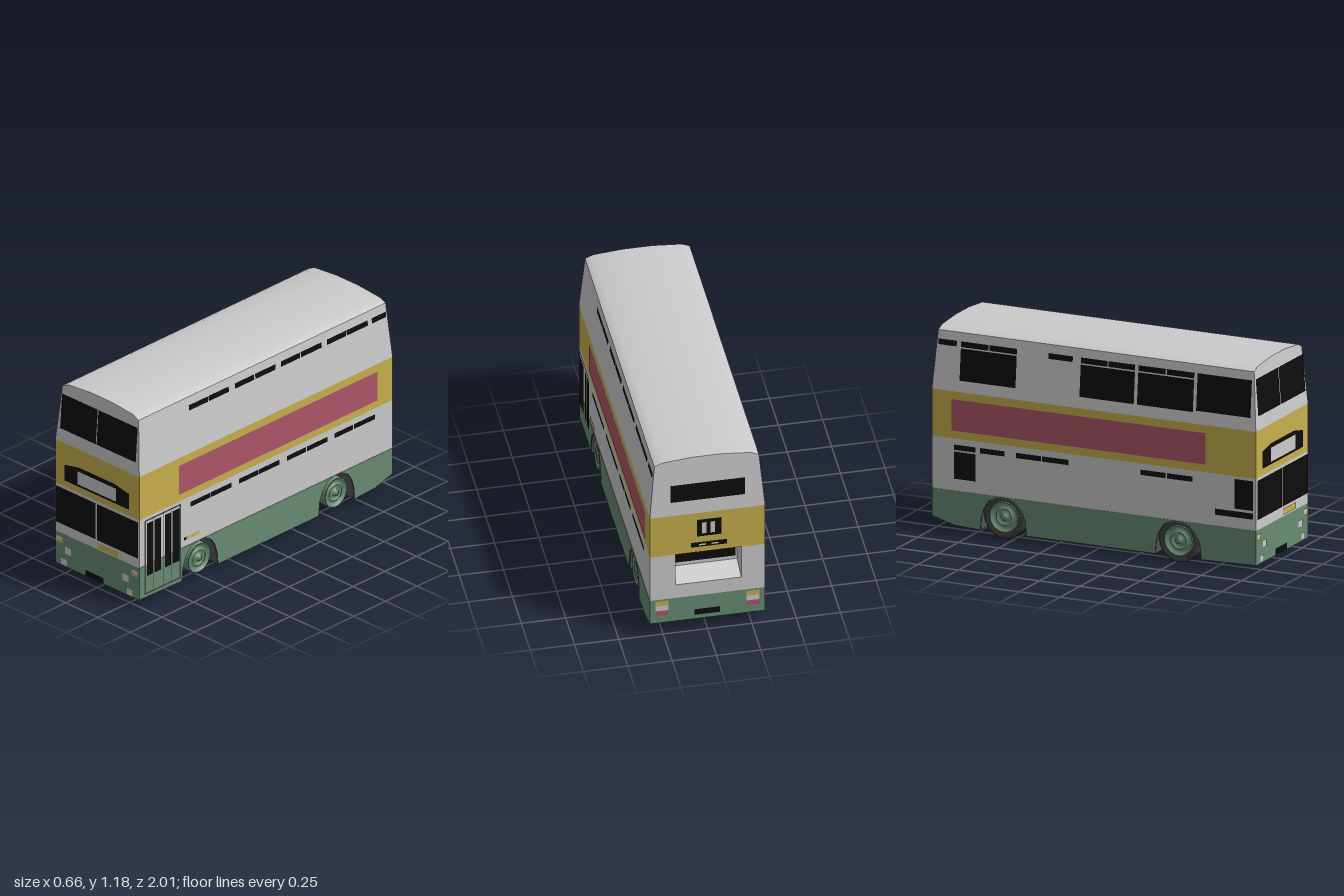
import * as THREE from 'three';

const paint = (name, color) => {
  const m = new THREE.MeshStandardMaterial({ color, side: THREE.DoubleSide });
  m.name = name;
  return m;
};

export function createModel() {
  const grey = paint('light grey', 0xcbcbcb);
  const yellow = paint('yellow', 0xc8b04e);
  const green = paint('green', 0x678c74);
  const pink = paint('pink', 0xad566a);
  const black = paint('glass black', 0x0d0d0d);
  const dark = paint('frame grey', 0x3f4542);
  const rubber = paint('tyre rubber', 0x404040);
  const liner = paint('arch liner grey', 0x585858);

  const bus = new THREE.Group();
  bus.name = 'bus';

  // The body is upright below the upper deck and leans inwards above it
  const WAIST = 0.81, EAVES = 1.145;
  const lean = (y) => Math.max(0, (y - WAIST) / (EAVES - WAIST));
  const halfWidth = (y) => 0.325 - 0.03 * lean(y);
  const halfLength = (y) => 1 - 0.025 * lean(y);

  const add = (name, geometry, material) => {
    geometry.computeVertexNormals();
    const mesh = new THREE.Mesh(geometry, material);
    mesh.name = name;
    bus.add(mesh);
    return mesh;
  };

  // Flat outline laid onto a wall. wall: 'side' uses (z, y), 'end' uses (x, y); s picks + or -
  function panel(name, material, wall, s, pts, off = 0) {
    const g = new THREE.ShapeGeometry(new THREE.Shape(pts.map(([u, v]) => new THREE.Vector2(u, v))));
    const p = g.attributes.position;
    for (let i = 0; i < p.count; i++) {
      const u = p.getX(i), y = p.getY(i);
      if (wall === 'side') p.setXYZ(i, s * (halfWidth(y) + off), y, u);
      else p.setXYZ(i, u, y, s * (halfLength(y) + off));
    }
    if ((wall === 'side') === (s > 0)) g.index.array.reverse();
    return add(name, g, material);
  }
  const rect = (name, material, wall, s, u0, u1, v0, v1, off = 0.004) =>
    panel(name, material, wall, s, [[u0, v0], [u1, v0], [u1, v1], [u0, v1]], off);

  // Sheet swept between two matching rows of points
  function sheet(name, material, rowA, rowB) {
    const g = new THREE.PlaneGeometry(1, 1, rowA.length - 1, 1);
    [...rowA, ...rowB].forEach((q, i) => g.attributes.position.setXYZ(i, ...q));
    return add(name, g, material);
  }

  // Roof arc, shared by the gables
  const arc = [[-0.295, 1.145], [-0.25, 1.165], [-0.08, 1.18], [0.08, 1.18], [0.25, 1.165], [0.295, 1.145]];
  sheet('roof', grey, arc.map(([x, y]) => [x, y, -halfLength(y)]), arc.map(([x, y]) => [x, y, halfLength(y)]));

  // Wheel arch outline, relative to the axle, from front to back
  const axles = [0.521, -0.558];
  const arch = [[0.142, 0.034], [0.135, 0.11], [0.112, 0.175], [0.07, 0.222], [0.02, 0.238],
    [-0.04, 0.236], [-0.09, 0.208], [-0.12, 0.16], [-0.137, 0.1], [-0.142, 0.034]];
  const archAt = (z) => arch.map(([dz, y]) => [z + dz, y]);

  // Side walls
  const skirt = [[1, 0.24], [1, 0.042], ...archAt(axles[0]), ...archAt(axles[1]),
    [-0.86, 0.042], [-1, 0.08], [-1, 0.24]];
  for (const s of [1, -1]) {
    panel('sideSkirt', green, 'side', s, skirt);
    rect('lowerSide', grey, 'side', s, -1, 1, 0.24, 0.54, 0);
    rect('sideBand', yellow, 'side', s, -1, 1, 0.54, WAIST, 0);
    panel('upperSide', grey, 'side', s, [[-1, WAIST], [1, WAIST], [0.975, EAVES], [-0.975, EAVES]]);
    rect('sidePoster', pink, 'side', s, -0.877, 0.69, 0.585, 0.765);
  }

  // Front and back walls; the lower back wall is notched for the engine recess
  const W = 0.325, R0 = -0.19, R1 = 0.18, SILL = 0.33, INNER = -0.88;
  for (const s of [1, -1]) {
    rect('endSkirt', green, 'end', s, -W, W, s > 0 ? 0.04 : 0.08, 0.24, 0);
    rect('endBand', yellow, 'end', s, -W, W, 0.54, WAIST, 0);
    panel('endUpper', grey, 'end', s, [[-W, WAIST], [W, WAIST], ...arc.slice().reverse()]);
  }
  rect('frontLower', grey, 'end', 1, -W, W, 0.24, 0.54, 0);
  panel('backLower', grey, 'end', -1, [[-W, 0.24], [W, 0.24], [W, 0.54], [R1, 0.54],
    [R1, SILL], [R0, SILL], [R0, 0.54], [-W, 0.54]]);

  // Recess above the engine cover
  const step = 0.37;
  sheet('recessSill', grey, [[R1, step, INNER], [R0, step, INNER]], [[R1, SILL, -1], [R0, SILL, -1]]);
  sheet('recessTop', grey, [[R0, 0.54, INNER], [R1, 0.54, INNER]], [[R0, 0.54, -1], [R1, 0.54, -1]]);
  sheet('recessBack', grey, [[R1, 0.54, INNER], [R0, 0.54, INNER]], [[R1, step, INNER], [R0, step, INNER]]);
  for (const x of [R0, R1])
    sheet('recessCheek', grey, [[x, 0.54, -1], [x, 0.54, INNER]], [[x, SILL, -1], [x, step, INNER]]);
  const zw = INNER - 0.004;
  sheet('recessWindow', black, [[0.17, 0.53, zw], [-0.18, 0.53, zw]], [[0.17, 0.395, zw], [-0.18, 0.395, zw]]);

  // Floor and the arch liners crossing beneath it
  const F = 0.327;
  sheet('floor', yellow, [[-F, 0.241, -0.999], [F, 0.241, -0.999]], [[-F, 0.241, 0.999], [F, 0.241, 0.999]]);
  for (const z of axles) {
    const row = (x) => archAt(z).map(([pz, y]) => [x, y, pz]);
    sheet('archLiner', liner, row(-0.322), row(0.322));
  }

  // Wheels: hubs on both sides, tyres on the right
  const lathe = (pts) => new THREE.LatheGeometry(pts.map(([r, h]) => new THREE.Vector2(r, h)), 32);
  const hubProfile = [[0.09, -0.05], [0.09, 0], [0.082, 0], [0.074, -0.014], [0.056, -0.014], [0.052, -0.004],
    [0.044, -0.004], [0.04, -0.012], [0.022, -0.012], [0.02, 0.002], [0, 0.002]];
  const tyreProfile = [[0.088, -0.07], [0.115, -0.07], [0.125, -0.062], [0.125, -0.008],
    [0.115, 0], [0.092, 0], [0.088, -0.008], [0.088, -0.07]];
  for (const z of axles) for (const s of [1, -1]) {
    const parts = [add('wheelHub', lathe(hubProfile), green)];
    if (s < 0) parts.push(add('tyre', lathe(tyreProfile), rubber));
    for (const part of parts) {
      part.rotation.z = -s * Math.PI / 2;
      part.position.set(s * 0.32, 0.125, z);
    }
  }

  // Left side vent panes
  const upperVents = [[0.588, 0.438], [0.432, 0.273], [0.225, 0.073], [0.064, -0.096], [-0.139, -0.289],
    [-0.296, -0.46], [-0.503, -0.652], [-0.658, -0.824], [-0.856, -0.968]];
  const lowerVents = [[0.6, 0.444], [0.438, 0.278], [0.219, 0.064], [0.058, -0.102], [-0.16, -0.31],
    [-0.32, -0.481], [-0.535, -0.684], [-0.69, -0.856]];
  for (const [a, b] of upperVents) rect('upperVent', black, 'side', 1, b, a, 1.064, 1.096);
  for (const [a, b] of lowerVents) rect('lowerVent', black, 'side', 1, b, a, 0.476, 0.506);

  // Right side windows: vents above, some with a large pane below
  for (const [a, b] of [[-0.83, -0.485], [-0.09, 0.245], [0.265, 0.61]]) {
    const mid = (a + b) / 2;
    rect('upperVent', black, 'side', -1, a, mid - 0.004, 1.064, 1.096);
    rect('upperVent', black, 'side', -1, mid + 0.004, b, 1.064, 1.096);
    rect('upperWindow', black, 'side', -1, a, b, 0.875, 1.056);
  }
  rect('upperVent', black, 'side', -1, -0.968, -0.856, 1.064, 1.096);
  rect('upperVent', black, 'side', -1, -0.29, -0.14, 1.064, 1.096);
  rect('upperFrontWindow', black, 'side', -1, 0.63, 0.965, 0.885, 1.096);
  for (const [a, b] of [[-0.86, -0.73], [-0.7, -0.55], [-0.48, -0.325], [-0.317, -0.155], [0.29, 0.445], [0.453, 0.61]])
    rect('lowerVent', black, 'side', -1, a, b, 0.476, 0.506);
  rect('lowerWindow', black, 'side', -1, -0.86, -0.73, 0.31, 0.466);
  rect('cabWindow', black, 'side', -1, 0.87, 0.985, 0.355, 0.525);
  rect('cabLowerWindow', black, 'side', -1, 0.75, 0.985, 0.305, 0.34);

  // Entrance door with four glazed leaves
  for (const z of [0.958, 0.893, 0.817, 0.749, 0.68]) {
    const w = z > 0.95 || z < 0.69 ? 0.006 : 0.002;
    rect('doorPost', dark, 'side', 1, z - w, z + w, 0.06, 0.525);
  }
  for (const y of [0.06, 0.515]) rect('doorRail', dark, 'side', 1, 0.674, 0.964, y, y + 0.01);
  for (const [a, b] of [[0.898, 0.947], [0.834, 0.888], [0.754, 0.802], [0.69, 0.743]])
    rect('doorGlass', black, 'side', 1, a, b, 0.175, 0.502, 0.006);
  rect('doorButton', black, 'side', 1, 0.632, 0.653, 0.283, 0.302);
  rect('sideLabel', yellow, 'side', 1, 0.53, 0.626, 0.283, 0.302);

  // Front windows and destination box
  for (const [a, b] of [[-0.29, -0.014], [-0.008, 0.295]]) rect('upperWindscreen', black, 'end', 1, a, b, 0.89, 1.1);
  for (const [a, b] of [[-0.315, -0.01], [0, 0.317]]) rect('windscreen', black, 'end', 1, a, b, 0.3, 0.525);
  panel('destinationBox', black, 'end', 1, [[-0.25, 0.58], [0.25, 0.58], [0.25, 0.677],
    [0.14, 0.7], [-0.14, 0.7], [-0.25, 0.677]], 0.004);
  rect('destinationBlind', grey, 'end', 1, -0.148, 0.152, 0.595, 0.676, 0.007);
  rect('frontLabel', yellow, 'end', 1, 0.007, 0.165, 0.25, 0.285);
  rect('frontPlate', black, 'end', 1, -0.087, 0.053, 0.045, 0.08);

  // Front lamps
  const lamp = (name, m, s, a, b, y0, y1) =>
    rect(name, m, 'end', 1, Math.min(s * a, s * b), Math.max(s * a, s * b), y0, y1);
  for (const s of [1, -1]) {
    lamp('sideLamp', grey, s, 0.267, 0.315, 0.199, 0.216);
    lamp('indicator', yellow, s, 0.267, 0.315, 0.18, 0.199);
    lamp('headlamp', grey, s, 0.2, 0.246, 0.124, 0.167);
    lamp('fogLamp', grey, s, 0.232, 0.278, 0.048, 0.086);
  }

  // Back window, route box, strip, plate and striped lamps
  rect('backUpperWindow', black, 'end', -1, -0.213, 0.207, 0.9, 1.01);
  rect('routeBox', black, 'end', -1, -0.078, 0.06, 0.65, 0.765);
  for (const x of [-0.04, 0.008]) rect('routeBlind', grey, 'end', -1, x, x + 0.026, 0.67, 0.745, 0.007);
  rect('backStrip', black, 'end', -1, -0.108, 0.093, 0.578, 0.61);
  for (const x of [-0.06, 0.01]) rect('backStripMark', grey, 'end', -1, x, x + 0.04, 0.589, 0.599, 0.007);
  rect('backPlate', black, 'end', -1, -0.07, 0.073, 0.11, 0.148);
  for (const x of [-0.293, 0.22])
    [pink, grey, yellow].forEach((m, i) =>
      rect('tailLamp', m, 'end', -1, x, x + 0.073, 0.132 + i * 0.033, 0.165 + i * 0.033));

  return bus;
}
